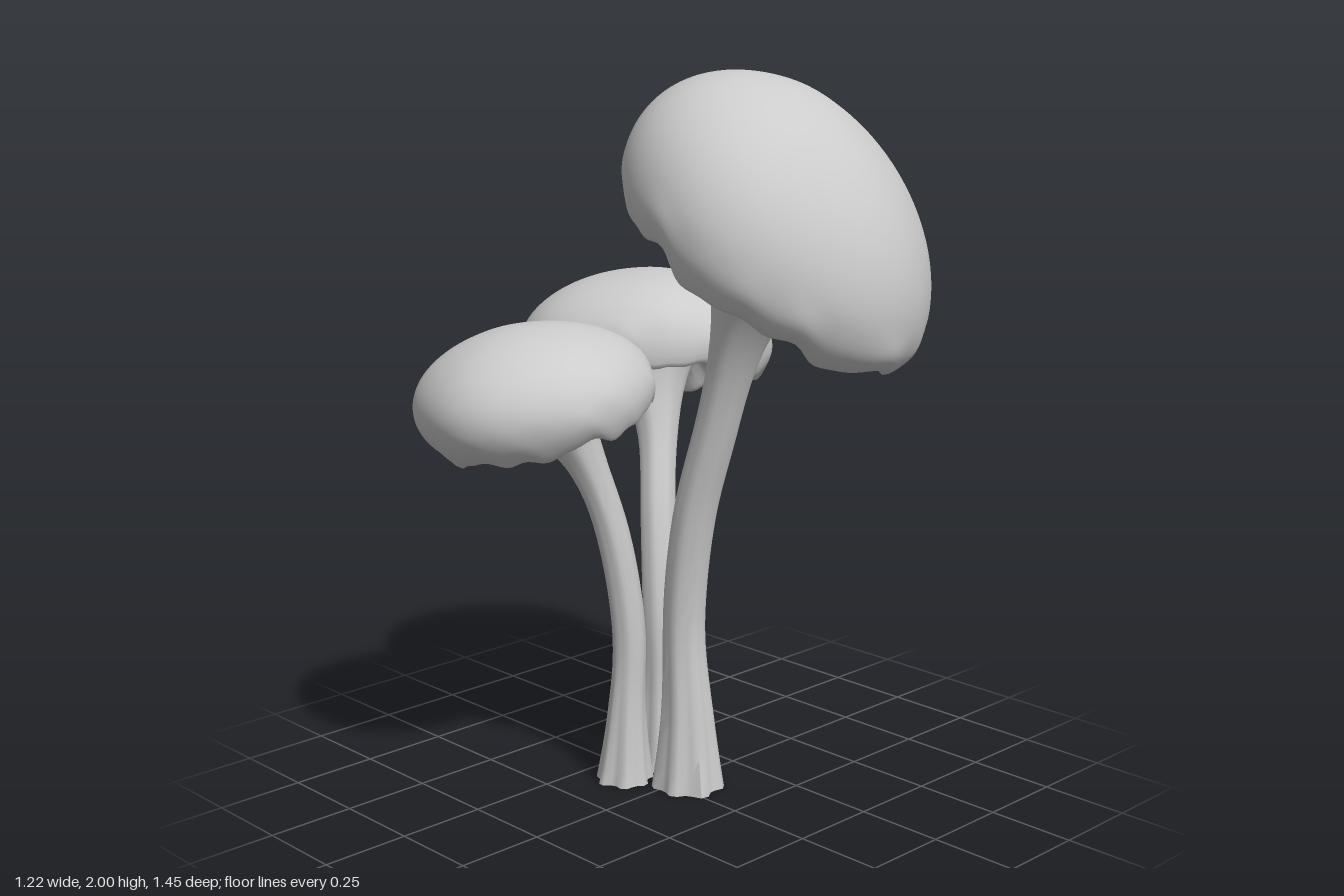
import * as THREE from 'three';
import { mergeVertices, toCreasedNormals } from 'three/addons/utils/BufferGeometryUtils.js';

const V = (p) => new THREE.Vector3(...p);
const clamp01 = (t) => Math.min(1, Math.max(0, t));

const material = new THREE.MeshStandardMaterial({ color: 0xcccccc, side: THREE.DoubleSide });

// Cap: lathe profile from the gills out to the rim and over the dome, then ruffled.
// lean slides the apex sideways, in the cap's own frame.
function makeCap({ radius: a, height: h, drop: d, centre, axis, lean, phase }) {
  const under = [
    [0.08, -d + 0.02 * a], [0.28 * a, -d + 0.12 * a], [0.48 * a, -d + 0.21 * a],
    [0.68 * a, -d + 0.18 * a], [0.83 * a, -d + 0.05 * a],
  ];
  const rim = [[0.91 * a, -d], [0.98 * a, -0.5 * d]];
  const dome = [];
  for (let i = 0; i <= 9; i++) {
    const t = (i / 9) * Math.PI / 2;
    dome.push([i === 9 ? 0 : a * Math.cos(t) ** 1.08, h * Math.sin(t)]);
  }
  const path = new THREE.SplineCurve([...under, ...rim, ...dome].map((p) => new THREE.Vector2(...p)));
  const pts = path.getPoints(48);
  pts.forEach((p) => { p.x = Math.max(0, p.x); });
  // lowest point outside the stem marks the rim
  const rimIndex = pts.reduce((best, p, i) => (p.x > 0.5 * a && p.y < pts[best].y ? i : best), 20);

  const geo = new THREE.LatheGeometry(pts, 120);
  const pos = geo.attributes.position;
  for (let i = 0; i < pos.count; i++) {
    const j = i % pts.length;
    const { x: r, y } = pts[j];
    // the last column shares the angle of the first so that the seam closes
    const th = ((Math.floor(i / pts.length) % 120) / 120) * Math.PI * 2;
    const s = r / a;
    // broad lumps over the whole cap
    const lump = 1 + 0.012 * Math.sin(3 * th + phase) + 0.012 * Math.sin(5 * th + 2 * phase);
    // wavy hanging edge
    const edge = clamp01((s - 0.4) / 0.45) * clamp01((0.4 * d - y) / (1.3 * d));
    const wave = 0.7 * Math.sin(7 * th + phase) + 0.5 * Math.sin(12 * th + 3 * phase)
      + 0.35 * Math.sin(19 * th);
    // radial gill folds
    const gill = j < rimIndex
      ? Math.sin(22 * th + 1.5 * Math.sin(3 * th + phase)) * Math.sin(Math.PI * clamp01((s - 0.25) / 0.67))
      : 0;
    const rr = r * lump * (1 + 0.018 * edge * wave);
    pos.setXYZ(
      i,
      rr * Math.sin(th) + lean[0] * y / h,
      y + a * (0.04 * edge * wave + 0.024 * gill),
      rr * Math.cos(th) + lean[1] * y / h,
    );
  }
  geo.deleteAttribute('uv');
  geo.deleteAttribute('normal');
  const smooth = mergeVertices(geo, 1e-5);
  smooth.computeVertexNormals();
  const mesh = new THREE.Mesh(smooth, material);
  mesh.name = 'cap';
  mesh.position.copy(V(centre));
  mesh.quaternion.setFromUnitVectors(new THREE.Vector3(0, 1, 0), V(axis).normalize());
  return mesh;
}

// Stem: cylinder bent along a curve, fluted at the foot and flared under the cap.
function makeStem({ path, thickness, flare, phase }) {
  const curve = new THREE.CatmullRomCurve3(path.map(V));
  const geo = new THREE.CylinderGeometry(1, 1, 1, 28, 30);
  const pos = geo.attributes.position;
  const X = new THREE.Vector3(1, 0, 0);
  for (let i = 0; i < pos.count; i++) {
    const x = pos.getX(i), z = pos.getZ(i), u = clamp01(pos.getY(i) + 0.5);
    const th = Math.atan2(z, x);
    const foot = clamp01(1 - u / 0.3), top = clamp01((u - 0.66) / 0.34);
    const flute = 1 + (0.03 + 0.08 * foot) * Math.sin(7 * th + phase) + 0.04 * foot * Math.sin(4 * th);
    const r = thickness * (1 + 0.65 * foot ** 1.8 + flare * top ** 3) * flute;
    const T = curve.getTangentAt(u);
    if (u < 0.01) T.set(0, 1, 0);
    const N = X.clone().addScaledVector(T, -T.x).normalize();
    const B = N.clone().cross(T);
    const p = curve.getPointAt(u).addScaledVector(N, x * r).addScaledVector(B, z * r);
    pos.setXYZ(i, p.x, p.y, p.z);
  }
  geo.deleteAttribute('uv');
  geo.deleteAttribute('normal');
  const mesh = new THREE.Mesh(toCreasedNormals(mergeVertices(geo, 1e-5), 0.9), material);
  mesh.name = 'stem';
  return mesh;
}

const MUSHROOMS = [
  {
    name: 'tallMushroom', phase: 0.6,
    cap: {
      radius: 0.45, height: 0.36, drop: 0.095, lean: [-0.05, -0.08],
      centre: [0.075, 1.58, 0.315], axis: [0.2, 0.84, 0.52],
    },
    stem: {
      thickness: 0.058, flare: 1.9,
      path: [[0.04, 0, 0.03], [0.04, 0.2, 0.025], [0.035, 0.5, 0.015], [0.035, 0.8, 0.055],
        [0.045, 1.05, 0.125], [0.05, 1.3, 0.2], [0.055, 1.54, 0.285]],
    },
  },
  {
    name: 'leftBackMushroom', phase: 2.1,
    cap: {
      radius: 0.365, height: 0.235, drop: 0.09, lean: [0.03, -0.02],
      centre: [0.245, 1.18, -0.36], axis: [0.21, 0.94, -0.22],
    },
    stem: {
      thickness: 0.05, flare: 1.9,
      path: [[0.1, 0, -0.14], [0.095, 0.2, -0.14], [0.09, 0.45, -0.14], [0.125, 0.75, -0.185],
        [0.185, 0.98, -0.25], [0.23, 1.16, -0.33]],
    },
  },
  {
    name: 'rightBackMushroom', phase: 4.0,
    cap: {
      radius: 0.325, height: 0.21, drop: 0.08, lean: [-0.05, 0],
      centre: [-0.28, 1.125, -0.24], axis: [-0.23, 0.97, -0.08],
    },
    stem: {
      thickness: 0.046, flare: 1.9,
      path: [[-0.06, 0, -0.13], [-0.06, 0.2, -0.12], [-0.06, 0.45, -0.11], [-0.105, 0.75, -0.13],
        [-0.17, 0.95, -0.165], [-0.25, 1.12, -0.22]],
    },
  },
];

export function createModel() {
  const model = new THREE.Group();
  model.name = 'mushroomCluster';
  for (const { name, phase, cap, stem } of MUSHROOMS) {
    const group = new THREE.Group();
    group.name = name;
    group.add(makeStem({ ...stem, phase }), makeCap({ ...cap, phase }));
    model.add(group);
  }
  return model;
}
